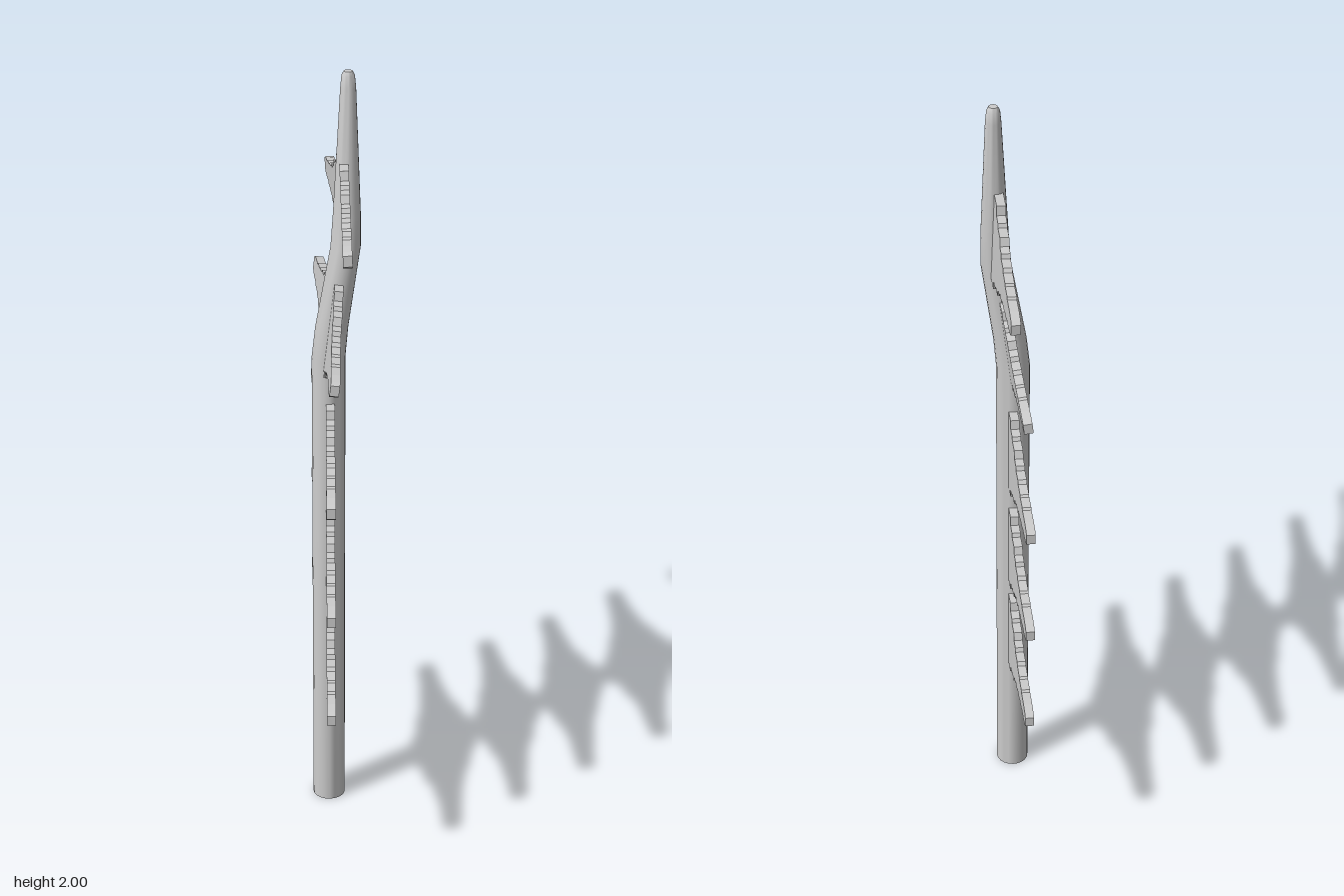
import * as THREE from 'three';
import { toCreasedNormals } from 'three/addons/utils/BufferGeometryUtils.js';

const material = new THREE.MeshStandardMaterial({ color: 0xcccccc });

// Stem rings from the ground up: centre x, y, centre z, radius
const RINGS = [
  [-0.022, 0, 0, 0.042],
  [-0.022, 1.28, 0, 0.042],
  [-0.014, 1.36, 0, 0.041],
  [0.02, 1.57, 0, 0.037],
  [0.023, 1.65, -0.004, 0.034],
  [0.027, 1.96, -0.027, 0.019],
  [0.027, 1.99, -0.028, 0.016],
  [0.027, 2, -0.028, 0.011],
];

// Stepped leaf outline: distance from the stem, half height
const OUTLINE = [
  [0, 0.115], [0.08, 0.115], [0.085, 0.092], [0.115, 0.09], [0.12, 0.08],
  [0.16, 0.08], [0.168, 0.06], [0.195, 0.058], [0.2, 0.047], [0.238, 0.047],
  [0.245, 0.038], [0.285, 0.036], [0.29, 0.031], [0.33, 0.03], [0.335, 0.025],
  [0.38, 0.024], [0.41, 0.019], [0.42, 0.013],
];

// Leaf pairs: x, y, z, lean along z, lean along x
const LEAVES = [
  [-0.018, 0.48, 0, 0, 0],
  [-0.018, 0.757, 0, 0, 0],
  [-0.018, 1.052, 0, 0, 0],
  [-0.01, 1.368, 0, 0, -0.12],
  [0.02, 1.665, -0.005, -0.055, 0.035],
];

const THICKNESS = 0.022;

// Bent, tapering stem: a unit cylinder whose rings are moved into place
function makeStem() {
  const last = RINGS.length - 1;
  const geo = new THREE.CylinderGeometry(1, 1, last, 20, last);
  const pos = geo.attributes.position;
  for (let i = 0; i < pos.count; i++) {
    const [x, y, z, r] = RINGS[Math.round(pos.getY(i) + last / 2)];
    pos.setXYZ(i, x + pos.getX(i) * r, y, z + pos.getZ(i) * r);
  }
  const stem = new THREE.Mesh(toCreasedNormals(geo, 0.7), material);
  stem.name = 'stem';
  return stem;
}

// Half leaf running from the stem toward +z (side 1) or -z (side -1)
function makeLeaf(side) {
  const upper = OUTLINE.map(([d, h]) => new THREE.Vector2(side * d, h));
  const lower = OUTLINE.map(([d, h]) => new THREE.Vector2(side * d, -h)).reverse();
  const geo = new THREE.ExtrudeGeometry(new THREE.Shape([...upper, ...lower]), {
    depth: THICKNESS, bevelEnabled: false,
  });
  geo.translate(0, 0, -THICKNESS / 2);
  geo.rotateY(-Math.PI / 2);
  // Both halves sweep slightly toward -x
  geo.rotateY(side > 0 ? -0.05 : 0.04);
  const leaf = new THREE.Mesh(geo, material);
  leaf.name = side > 0 ? 'frontLeaf' : 'backLeaf';
  return leaf;
}

export function createModel() {
  const model = new THREE.Group();
  model.name = 'leafyStalk';
  model.add(makeStem());
  LEAVES.forEach(([x, y, z, leanZ, leanX], i) => {
    const pair = new THREE.Group();
    pair.name = `leafPair${i + 1}`;
    pair.add(makeLeaf(1), makeLeaf(-1));
    pair.position.set(x, y, z);
    pair.rotation.set(leanZ, 0, leanX);
    model.add(pair);
  });
  return model;
}
